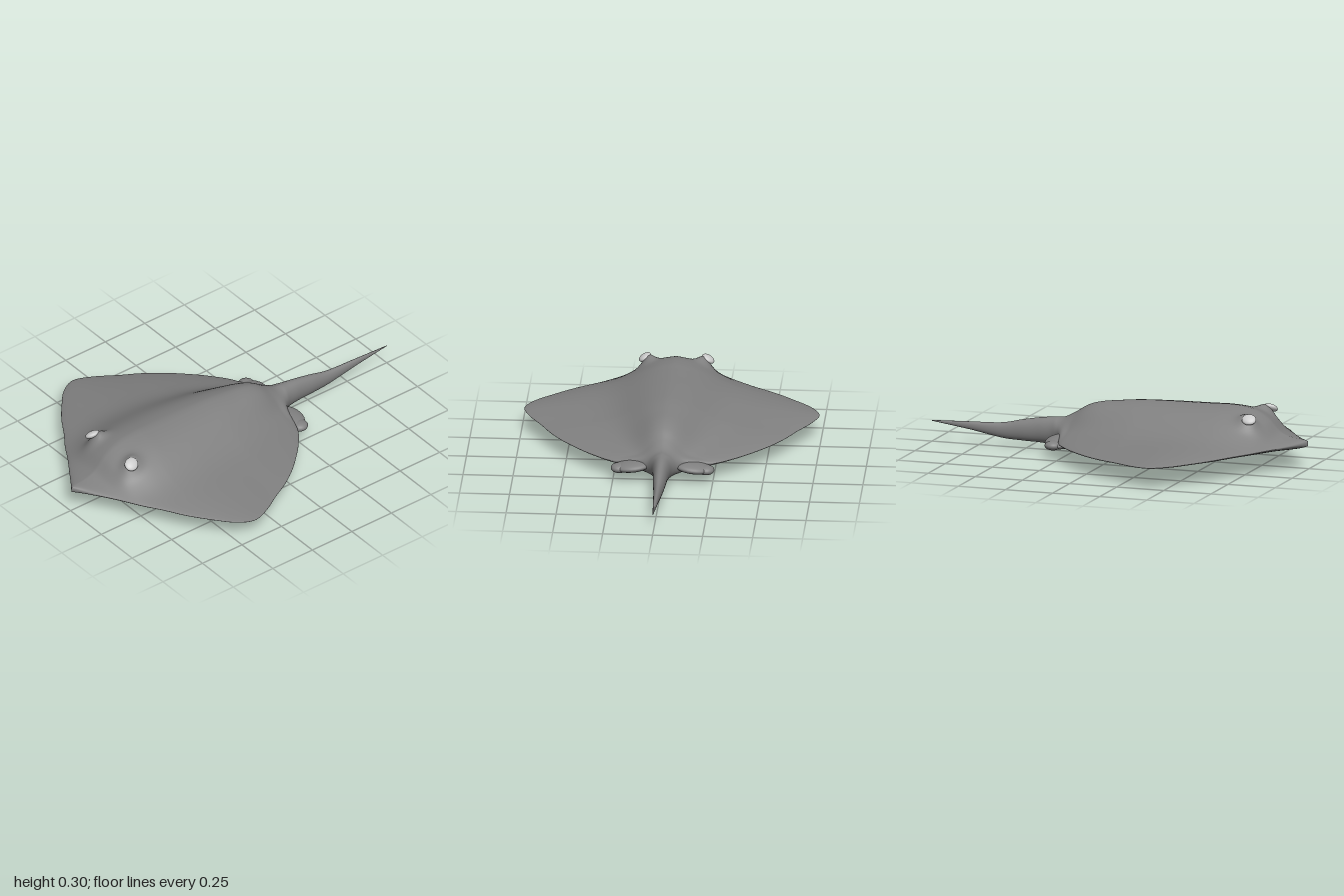
import * as THREE from 'three';

// Stations nose to tail: z, half width, top, bottom
const STATIONS = [
  [0.995, 0, 0.145, 0.12],
  [0.96, 0.05, 0.153, 0.108],
  [0.91, 0.125, 0.16, 0.098],
  [0.85, 0.215, 0.183, 0.09],
  [0.79, 0.315, 0.243, 0.081],
  [0.73, 0.4, 0.28, 0.073],
  [0.66, 0.51, 0.3, 0.064],
  [0.58, 0.61, 0.306, 0.055],
  [0.5, 0.695, 0.304, 0.045],
  [0.41, 0.738, 0.302, 0.036],
  [0.31, 0.705, 0.301, 0.025],
  [0.2, 0.64, 0.299, 0.013],
  [0.1, 0.585, 0.295, 0.006],
  [0, 0.515, 0.285, 0.006],
  [-0.1, 0.425, 0.272, 0.013],
  [-0.17, 0.35, 0.25, 0.019],
  [-0.235, 0.26, 0.21, 0.023],
  [-0.29, 0.11, 0.182, 0.027],
  [-0.34, 0.058, 0.176, 0.033],
  [-0.42, 0.04, 0.168, 0.04],
  [-0.52, 0.032, 0.15, 0.043],
  [-0.63, 0.022, 0.127, 0.05],
  [-0.8, 0.012, 0.12, 0.08],
  [-1, 0.001, 0.113, 0.109],
];

// Smooth interpolation between stations
function stationAt(t) {
  const last = STATIONS.length - 1;
  const i = Math.min(Math.floor(t), last - 1), f = t - i;
  const p = (k) => STATIONS[Math.max(0, Math.min(last, k))];
  return p(i).map((b, c) => {
    const a = p(i - 1)[c], d = p(i + 1)[c], e = p(i + 2)[c];
    return b + 0.5 * f * (d - a + f * (2 * a - 5 * b + 4 * d - e + f * (3 * (b - d) + e - a)));
  });
}

function stationAtZ(z) {
  let lo = 0, hi = STATIONS.length - 1;
  for (let k = 0; k < 30; k++) {
    const mid = (lo + hi) / 2;
    if (stationAt(mid)[0] > z) lo = mid; else hi = mid;
  }
  return stationAt(lo);
}

// Skin height: lens-shaped wing plus central hump, eye mounds and belly keel
function skinHeight([z, w, top, bottom], u, cos) {
  const x = Math.abs(u * w), r = Math.abs(u);
  // Thin wing rim, turning into a full oval along the tail
  const tail = 1 - THREE.MathUtils.smoothstep(z, -0.35, -0.23);
  const half = (top - bottom) / 2;
  const edge = THREE.MathUtils.lerp(Math.min(0.018, half), half, tail);
  const rim = THREE.MathUtils.lerp(0.098 + 0.02 * z + 0.015 * z * z, (top + bottom) / 2, tail);
  if (cos >= 0) {
    const dome = Math.max(0, top - rim - edge);
    const rise = Math.min(dome, 0.085 * Math.min(1, w / 0.6));
    const humpWidth = Math.max(0.05, 0.24 - 0.27 * (z - 0.5) ** 2);
    const hump = (dome - rise) * Math.exp(-Math.pow(x / humpWidth, 2.7)) * (1 - r ** 4);
    const mound = 0.045 * Math.exp(-(((x - 0.14) / 0.038) ** 2) - ((z - 0.725) / 0.05) ** 2);
    return rim + edge * cos + rise * (1 - r) + hump + mound;
  }
  const depth = Math.max(0, rim - edge - bottom);
  const keel = Math.min(0.012, depth * 0.3);
  return rim + edge * cos - (depth - keel) * (1 - r) - keel * Math.exp(-((x / 0.1) ** 2)) * (1 - r);
}

function bodyGeometry() {
  const around = 160, sub = 9, rings = (STATIONS.length - 1) * sub;
  const pos = [], index = [];
  for (let i = 0; i <= rings; i++) {
    const s = stationAt(i / sub);
    for (let j = 0; j < around; j++) {
      const a = (j / around) * Math.PI * 2, u = Math.sin(a);
      pos.push(u * s[1], skinHeight(s, u, Math.cos(a)), s[0]);
      if (i === rings) continue;
      const p = i * around + j, q = i * around + ((j + 1) % around);
      index.push(p, q, p + around, q, q + around, p + around);
    }
  }
  const g = new THREE.BufferGeometry();
  g.setAttribute('position', new THREE.Float32BufferAttribute(pos, 3));
  g.setIndex(index);
  g.computeVertexNormals();
  return g;
}

export function createModel() {
  const model = new THREE.Group();
  const skin = new THREE.MeshStandardMaterial({ color: 0x808080 });
  const pale = new THREE.MeshStandardMaterial({ color: 0xcccccc });
  const ball = new THREE.SphereGeometry(1, 28, 18);

  function ellipsoid(name, material, position, radii, rotation = [0, 0, 0]) {
    const m = new THREE.Mesh(ball, material);
    m.name = name;
    m.position.set(...position);
    m.scale.set(...radii);
    m.rotation.set(...rotation);
    model.add(m);
  }

  const body = new THREE.Mesh(bodyGeometry(), skin);
  body.name = 'bodyAndTail';
  model.add(body);

  const bellyY = (x, z) => {
    const s = stationAtZ(z), u = x / s[1];
    return skinHeight(s, u, -Math.sqrt(1 - u * u));
  };

  for (const side of [1, -1]) {
    const name = side > 0 ? 'left' : 'right';
    // Eyes set into the outer face of each mound
    ellipsoid(name + 'Eye', pale, [side * 0.158, 0.267, 0.738], [0.034, 0.017, 0.038], [0.25, side * 0.3, -side * 0.6]);
    // Lobed pelvic fins beside the tail root
    ellipsoid(name + 'PelvicFin', skin, [side * 0.15, 0.085, -0.26], [0.095, 0.028, 0.08], [0, 0, -side * 0.12]);
    ellipsoid(name + 'PelvicFinLobe', skin, [side * 0.217, 0.076, -0.28], [0.042, 0.024, 0.042]);
    // Gill slits in a shallow arc on the underside
    for (let i = 0; i < 5; i++) {
      const z = 0.62 - i * 0.055, x = side * (0.195 - 0.006 * i * i);
      ellipsoid(name + 'GillSlit' + (i + 1), skin, [x, bellyY(x, z), z], [0.026, 0.004, 0.007], [0, side * (0.3 - i * 0.12), side * 0.09]);
    }
    // Nostrils
    const n = side * 0.06;
    ellipsoid(name + 'Nostril', skin, [n, bellyY(n, 0.77), 0.77], [0.022, 0.005, 0.01], [0, side * 0.5, 0]);
  }

  // Mouth on the underside
  const mouthPath = new THREE.CatmullRomCurve3([-0.08, -0.04, 0, 0.04, 0.08].map((x) => {
    const z = 0.72 - x * x * 4;
    return new THREE.Vector3(x, bellyY(x, z), z);
  }));
  const mouth = new THREE.Mesh(new THREE.TubeGeometry(mouthPath, 24, 0.005, 8), skin);
  mouth.name = 'mouth';
  model.add(mouth);

  return model;
}
